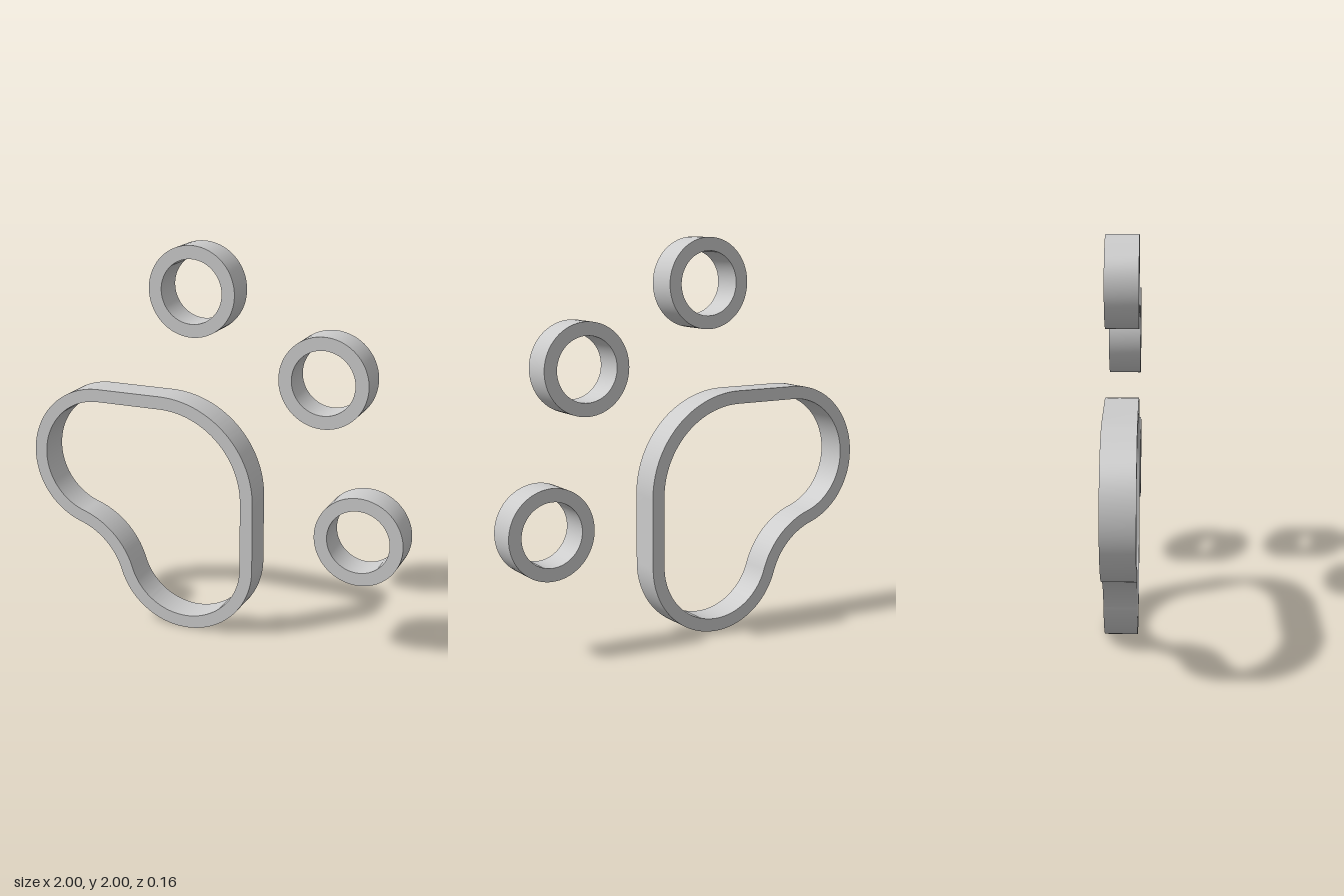
import * as THREE from 'three';
import { toCreasedNormals } from 'three/addons/utils/BufferGeometryUtils.js';

const DEPTH = 0.163, WALL = 0.066;
const material = new THREE.MeshStandardMaterial({ color: 0xcccccc });

// Extrudes the band between two outlines, centred on z = 0
function band(name, outer, inner) {
  outer.holes.push(inner);
  const geometry = new THREE.ExtrudeGeometry(outer, { depth: DEPTH, bevelEnabled: false, curveSegments: 40 });
  geometry.translate(0, 0, -DEPTH / 2);
  const mesh = new THREE.Mesh(toCreasedNormals(geometry, 0.6), material);
  mesh.name = name;
  return mesh;
}

// Pad outline made of tangent arcs, shrunk inwards by inset
function padOutline(path, inset) {
  const r = 0.375, hollow = 0.365;
  const bottom = new THREE.Vector2(-0.15, 0.375);
  const left = new THREE.Vector2(-0.625, 0.857);
  // Centre of the concave arc: equally far from both lobe centres
  const span = left.clone().sub(bottom);
  const half = span.length() / 2;
  const reach = Math.sqrt((r + hollow) ** 2 - half ** 2);
  const c = bottom.clone().addScaledVector(span, 0.5)
    .add(new THREE.Vector2(-span.y, span.x).setLength(reach));
  const angleTo = (p) => c.clone().sub(p).angle();
  const aB = angleTo(bottom), aL = angleTo(left);

  path.absarc(bottom.x, bottom.y, r - inset, aB, Math.PI * 2, false);
  path.absarc(-0.28, 0.727, 0.505 - inset, 0, Math.PI / 2, false);
  path.absarc(left.x, left.y, r - inset, Math.PI / 2, aL, false);
  path.absarc(c.x, c.y, hollow + inset, aL - Math.PI, aB - Math.PI, true);
  path.closePath();
  return path;
}

function circle(path, x, y, r) {
  path.absarc(x, y, r, 0, Math.PI * 2, false);
  return path;
}

export function createModel() {
  const group = new THREE.Group();
  group.name = 'pawOutline';

  // Main pad
  group.add(band('mainPad', padOutline(new THREE.Shape(), 0), padOutline(new THREE.Path(), WALL)));

  // Toe rings
  [[-0.1, 1.775], [0.578, 1.39], [0.774, 0.617]].forEach(([x, y], i) => {
    group.add(band(`toeRing${i + 1}`, circle(new THREE.Shape(), x, y, 0.225), circle(new THREE.Path(), x, y, 0.225 - WALL)));
  });
  return group;
}
